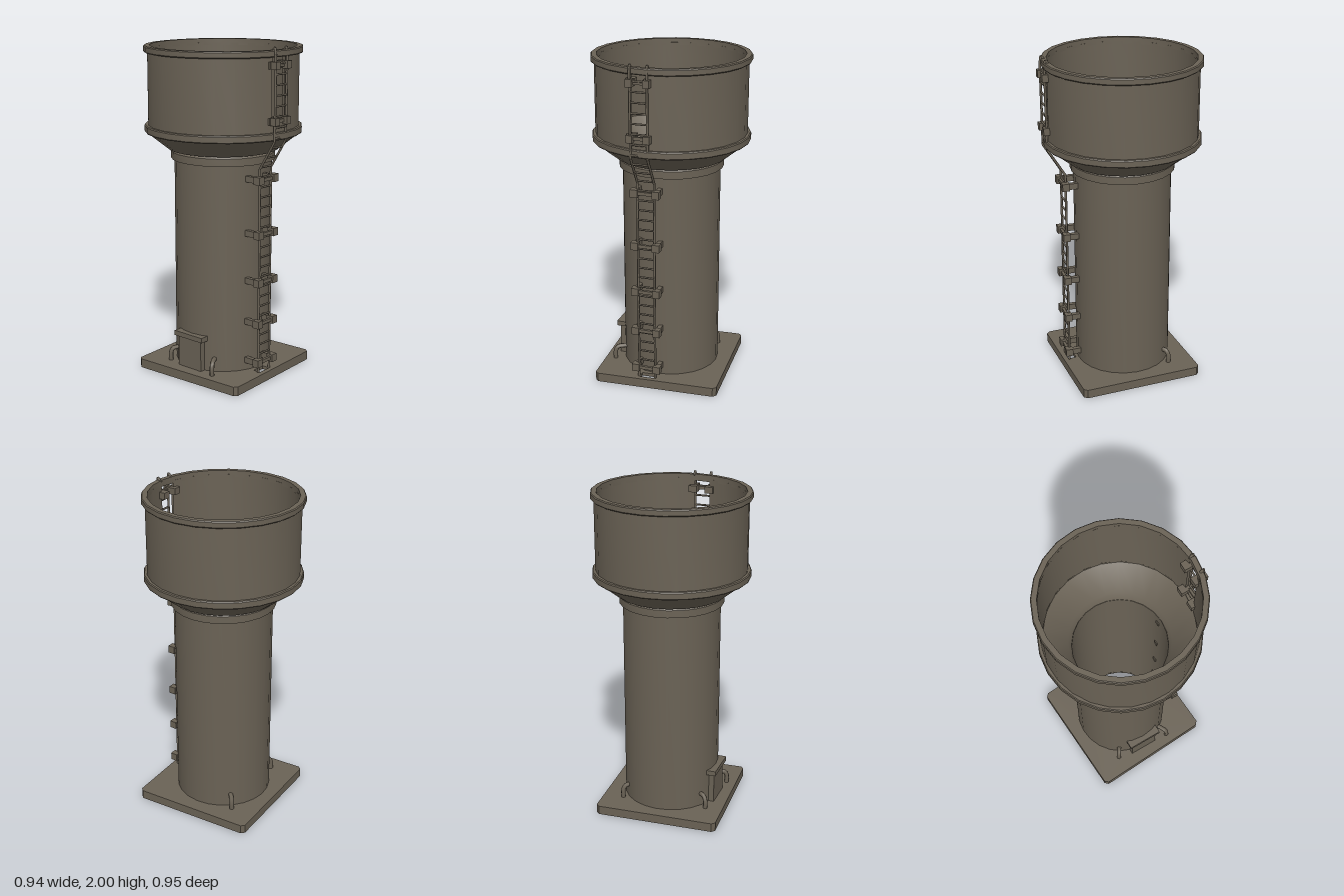
import * as THREE from 'three';
import { toCreasedNormals } from 'three/addons/utils/BufferGeometryUtils.js';

export function createModel() {
  const model = new THREE.Group();
  model.name = 'waterTower';
  const metal = new THREE.MeshStandardMaterial({ color: 0x6a6255, side: THREE.DoubleSide });
  metal.name = 'weatheredMetal';

  const add = (name, geometry, parent = model) => {
    const mesh = new THREE.Mesh(geometry, metal);
    mesh.name = name;
    parent.add(mesh);
    return mesh;
  };
  const group = (name) => {
    const g = new THREE.Group();
    g.name = name;
    model.add(g);
    return g;
  };
  // Box given by its minimum and maximum corners
  const box = (name, a, b, parent) => {
    const mesh = add(name, new THREE.BoxGeometry(b[0] - a[0], b[1] - a[1], b[2] - a[2]), parent);
    mesh.position.set((a[0] + b[0]) / 2, (a[1] + b[1]) / 2, (a[2] + b[2]) / 2);
    return mesh;
  };
  // Round bar between two points
  const bar = (name, a, b, r, parent) => {
    const p = new THREE.Vector3(...a), q = new THREE.Vector3(...b), d = q.clone().sub(p);
    const mesh = add(name, new THREE.CylinderGeometry(r, r, d.length(), 6), parent);
    mesh.position.copy(p).add(q).multiplyScalar(0.5);
    mesh.quaternion.setFromUnitVectors(new THREE.Vector3(0, 1, 0), d.normalize());
    return mesh;
  };
  // Turned part; outer profile runs upwards, inner profile downwards
  const turn = (name, points, start = 0, length = Math.PI * 2, sides = 24) => {
    const geo = new THREE.LatheGeometry(points.map(p => new THREE.Vector2(...p)), sides, start, length);
    const mesh = add(name, toCreasedNormals(geo, 0.55));
    mesh.position.z = -0.01;
    return mesh;
  };

  // Base plate: thin deck over a hollow skirt, turned slightly
  const base = group('basePlate');
  base.rotation.y = 0.055;
  const square = (Type, s, c) => new Type([
    [-s + c, -s], [s - c, -s], [s, -s + c], [s, s - c],
    [s - c, s], [-s + c, s], [-s, s - c], [-s, -s + c],
  ].map(p => new THREE.Vector2(...p)));
  const slab = (name, shape, y, h) => {
    const geo = new THREE.ExtrudeGeometry(shape, { depth: h, bevelEnabled: false, curveSegments: 12 });
    add(name, geo.rotateX(-Math.PI / 2).translate(0, y, 0), base);
  };
  const deck = square(THREE.Shape, 0.38, 0.02);
  const opening = new THREE.Path();
  opening.absarc(0, 0.01, 0.28, 0, Math.PI * 2, true);
  const slot = new THREE.Path([[-0.1, -0.3], [-0.01, -0.3], [-0.01, -0.35], [-0.1, -0.35]]
    .map(p => new THREE.Vector2(...p)));
  deck.holes.push(opening, slot);
  slab('baseDeck', deck, 0.035, 0.02);
  const skirt = square(THREE.Shape, 0.38, 0.02);
  skirt.holes.push(square(THREE.Path, 0.355, 0.01));
  slab('baseSkirt', skirt, 0, 0.045);

  // Shaft, collar and flared cone
  turn('shaft', [[0.285, 0.035], [0.293, 0.035], [0.293, 1.32], [0.28, 1.32], [0.28, 0.035], [0.285, 0.035]]);
  turn('collarAndCone', [
    [0.28, 1.315], [0.313, 1.315], [0.313, 1.36], [0.302, 1.372], [0.33, 1.375],
    [0.455, 1.475], [0.455, 1.51], [0.435, 1.51], [0.30, 1.37], [0.28, 1.315],
  ]);

  // Tank wall, open behind the upper ladder, between two hoops
  turn('tankWall', [[0.435, 1.5], [0.45, 1.5], [0.45, 1.96], [0.435, 1.96], [0.435, 1.5]],
    0.02, Math.PI * 2 - 0.225);
  turn('tankWallSill', [[0.435, 1.5], [0.45, 1.5], [0.45, 1.58], [0.435, 1.58]], -0.205, 0.225, 2);
  const hoop = (name, y0, y1) => turn(name, [
    [0.435, y0], [0.465, y0], [0.47, y0 + 0.006], [0.47, y1 - 0.006], [0.465, y1], [0.435, y1], [0.435, y0],
  ]);
  hoop('lowerHoop', 1.475, 1.52);
  hoop('topRim', 1.945, 1.985);

  // Ladder rails: up the shaft, out along the cone, up the tank
  const ladder = group('ladder');
  const railX = [-0.088, 0.014];
  const path = [[0.055, 0.345], [1.3, 0.345], [1.47, 0.45], [1.96, 0.453], [2.0, 0.447], [1.975, 0.425]];
  for (const x of railX) {
    for (let i = 1; i < path.length; i++) {
      const [y0, z0] = path[i - 1], [y1, z1] = path[i];
      bar('ladderRail', [x, y0, z0], [x, y1, z1], 0.0075, ladder);
    }
  }
  // Rungs
  const railZ = (y) => (y < 1.3 ? 0.345 : y < 1.47 ? 0.345 + (y - 1.3) * 0.618 : 0.451);
  for (let y = 0.11; y < 1.94; y += 0.06) {
    bar('ladderRung', [railX[0], y, railZ(y)], [railX[1], y, railZ(y)], 0.006, ladder);
  }
  // Wall brackets and clamps
  for (const y of [0.12, 0.365, 0.62, 0.91, 1.235]) {
    for (const x of railX) {
      const out = x < -0.03 ? -0.015 : 0.015;
      box('ladderArm', [x + out - 0.013, y - 0.018, 0.26], [x + out + 0.013, y + 0.018, 0.345], ladder);
      box('ladderClamp', [x + out - 0.022, y - 0.023, 0.33], [x + out + 0.022, y + 0.023, 0.373], ladder);
    }
    box('ladderTie', [-0.11, y - 0.01, 0.345], [0.035, y + 0.01, 0.362], ladder);
  }
  for (const y of [1.585, 1.9]) {
    for (const x of railX) {
      box('tankClamp', [x - 0.02, y - 0.022, 0.432], [x + 0.018, y + 0.022, 0.472], ladder);
      box('tankAnchor', [x - 0.028, y - 0.02, 0.385], [x + 0.022, y + 0.02, 0.435], ladder);
    }
    box('tankTie', [-0.1, y - 0.01, 0.435], [0.025, y + 0.01, 0.45], ladder);
  }

  // Hatch on the side of the shaft
  const hatch = group('hatch');
  box('hatchPanel', [-0.31, 0.05, -0.1], [-0.262, 0.25, 0.08], hatch);
  box('hatchLintel', [-0.325, 0.245, -0.12], [-0.262, 0.275, 0.1], hatch);

  // Bent pipes from the deck into the shaft
  for (const [x, z] of [[-0.31, 0.17], [0.24, -0.235], [-0.285, -0.19]]) {
    const k = 0.8;
    const curve = new THREE.CatmullRomCurve3([
      [x, 0.05, z], [x, 0.105, z], [x * 0.96, 0.13, z * 0.96], [x * k, 0.135, z * k],
    ].map(p => new THREE.Vector3(...p)));
    add('bentPipe', new THREE.TubeGeometry(curve, 8, 0.014, 7));
  }

  return model;
}
